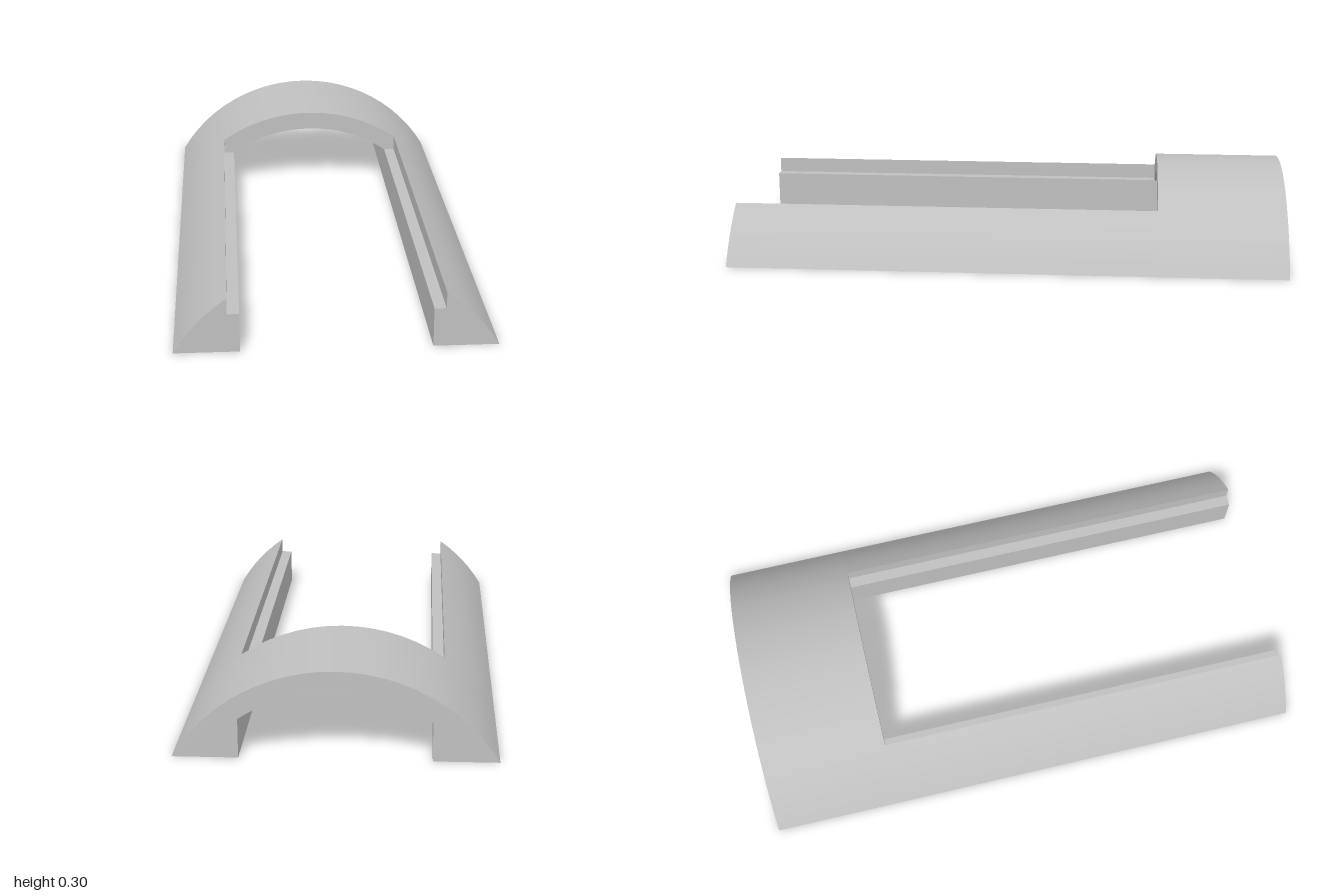
import * as THREE from 'three';
import { toCreasedNormals } from 'three/addons/utils/BufferGeometryUtils.js';

// Shared arc centre, radii and the key x positions of the section
const CENTRE_Y = -0.319, OUTER_R = 0.622, INNER_R = 0.553;
const FOOT_X = 0.534, STEP_X = 0.356, INNER_X = 0.316;
const BACK = -1, BRIDGE_FRONT = -0.54, FRONT = 1;

// Points along an arc between two x positions
function arc(radius, fromX, toX, steps) {
  const a = Math.asin(fromX / radius), b = Math.asin(toX / radius);
  return Array.from({ length: steps + 1 }, (_, i) => {
    const t = a + ((b - a) * i) / steps;
    return new THREE.Vector2(radius * Math.sin(t), CENTRE_Y + radius * Math.cos(t));
  });
}

// Extrude a section along z, smooth on the curves and sharp on the edges
function extrudeSection(points, z0, z1) {
  const geometry = new THREE.ExtrudeGeometry(new THREE.Shape(points), {
    depth: z1 - z0, steps: 1, bevelEnabled: false,
  });
  geometry.translate(0, 0, z0);
  return toCreasedNormals(geometry, 0.5);
}

export function createModel() {
  const model = new THREE.Group();
  model.name = 'archedFrame';
  const grey = new THREE.MeshStandardMaterial({ color: 0xc0c0c0 });
  grey.name = 'grey';

  const add = (name, points, z0, z1) => {
    const mesh = new THREE.Mesh(extrudeSection(points, z0, z1), grey);
    mesh.name = name;
    model.add(mesh);
  };

  // Arched bridge across the back, with its two feet
  add('archedBridge', [
    ...arc(OUTER_R, -FOOT_X, FOOT_X, 24),
    new THREE.Vector2(INNER_X, 0),
    ...arc(INNER_R, INNER_X, -INNER_X, 16),
    new THREE.Vector2(-INNER_X, 0),
  ], BACK, BRIDGE_FRONT);

  // Long side rails with a ledge along the inner edge
  const ledgeY = CENTRE_Y + Math.sqrt(INNER_R ** 2 - INNER_X ** 2);
  for (const [name, side] of [['leftRail', 1], ['rightRail', -1]]) {
    add(name, [
      ...arc(OUTER_R, side * FOOT_X, side * STEP_X, 6),
      new THREE.Vector2(side * STEP_X, ledgeY),
      new THREE.Vector2(side * INNER_X, ledgeY),
      new THREE.Vector2(side * INNER_X, 0),
    ], BRIDGE_FRONT, FRONT);
  }
  return model;
}
